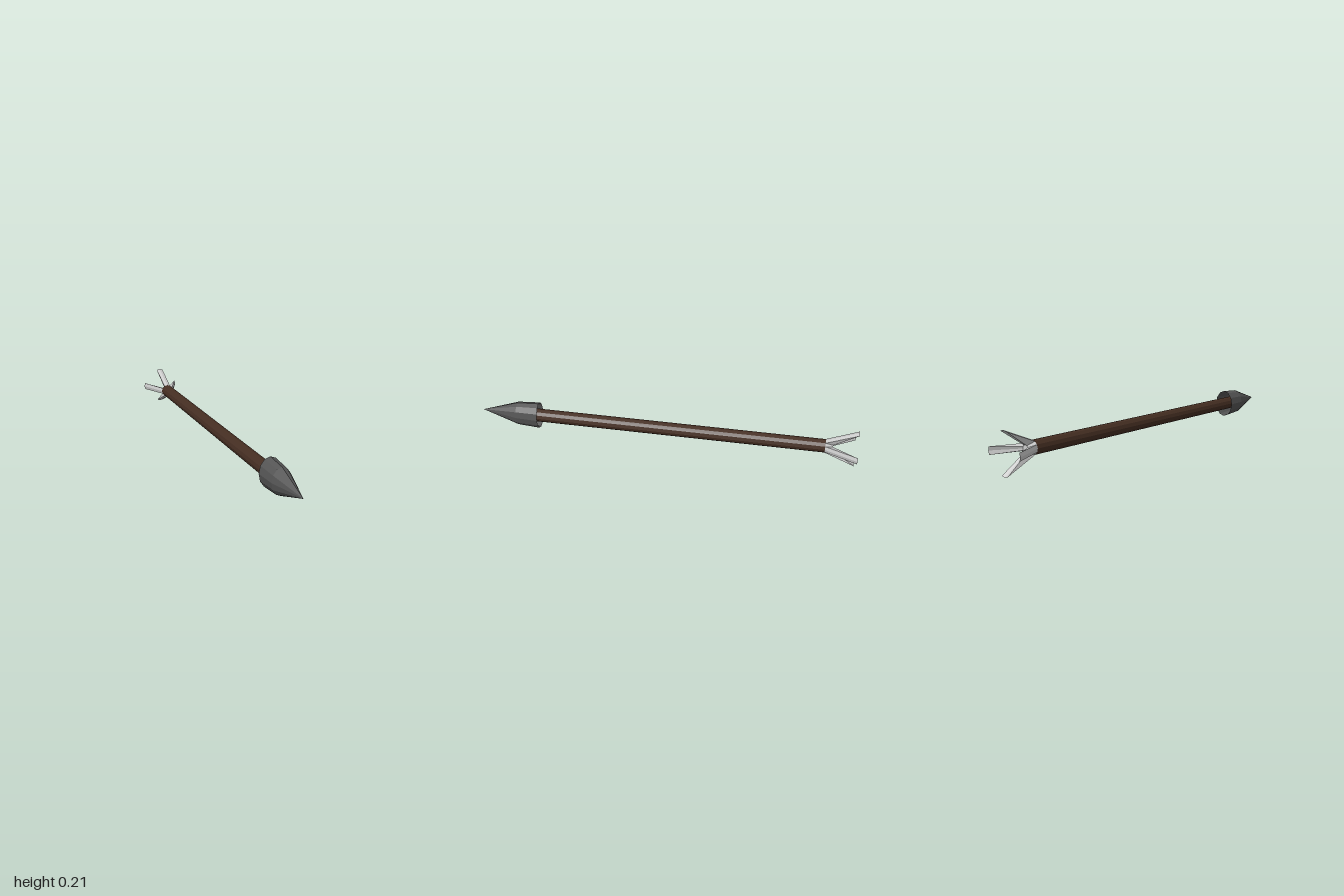
import * as THREE from 'three';

const SIDES = 12;
const AXIS_Y = 0.107;

function makeMesh(name, geometry, color, side = THREE.FrontSide) {
  const material = new THREE.MeshStandardMaterial({ color, flatShading: true, side });
  const mesh = new THREE.Mesh(geometry, material);
  mesh.name = name;
  return mesh;
}

// Tail: a socket tapering to a small disc, with four wedge vanes flaring backwards
function tailGeometry() {
  const baseZ = -0.84, discZ = -0.88, tipZ = -1;
  const positions = [];
  const tri = (...pts) => pts.forEach((p) => positions.push(...p));
  const quad = (a, b, c, d) => { tri(a, b, c); tri(a, c, d); };
  const ring = (radius, z) => (i) => {
    const a = (i / SIDES) * Math.PI * 2;
    return [Math.cos(a) * radius, Math.sin(a) * radius, z];
  };
  const base = ring(0.035, baseZ);
  const disc = ring(0.018, discZ);

  for (let v = 0; v < 4; v++) {
    const angle = (v * Math.PI) / 2, c = Math.cos(angle), s = Math.sin(angle);
    const tipPoint = (out, across) => [c * out - s * across, s * out + c * across, tipZ];
    const tip = [tipPoint(0.099, -0.019), tipPoint(0.104, 0), tipPoint(0.099, 0.019)];
    const first = v * 3 - 1;

    // outer and inner faces of the vane, folded along the middle
    for (let k = 0; k < 2; k++) {
      const i = first + k;
      quad(base(i), tip[k], tip[k + 1], base(i + 1));
      quad(disc(i), disc(i + 1), tip[k + 1], tip[k]);
    }
    // triangular sides of the vane
    tri(base(first), disc(first), tip[0]);
    tri(base(first + 2), tip[2], disc(first + 2));
    // sloping face between this vane and the next
    quad(base(first + 2), disc(first + 2), disc(first + 3), base(first + 3));
  }
  // end disc
  for (let i = 0; i < SIDES; i++) tri([0, 0, discZ], disc(i + 1), disc(i));

  const geometry = new THREE.BufferGeometry();
  geometry.setAttribute('position', new THREE.Float32BufferAttribute(positions, 3));
  geometry.computeVertexNormals();
  return geometry;
}

export function createModel() {
  const model = new THREE.Group();
  model.name = 'arrow';

  // Wooden shaft, running into the hollow head
  const shaft = new THREE.CylinderGeometry(0.035, 0.035, 1.64, SIDES);
  shaft.rotateX(Math.PI / 2).translate(0, 0, -0.02);
  model.add(makeMesh('shaft', shaft, 0x452e22));

  // Hollow pointed head, narrower across than it is tall
  const profile = [[0.075, 0.68], [0.067, 0.8], [0, 1]].map(([r, y]) => new THREE.Vector2(r, y));
  const head = new THREE.LatheGeometry(profile, SIDES);
  head.scale(0.73, 1, 1).rotateX(Math.PI / 2);
  model.add(makeMesh('arrowhead', head, 0x555555, THREE.DoubleSide));

  // Flared vanes at the back
  model.add(makeMesh('fletching', tailGeometry(), 0xcccccc, THREE.DoubleSide));

  model.children.forEach((part) => { part.position.y = AXIS_Y; });
  return model;
}
